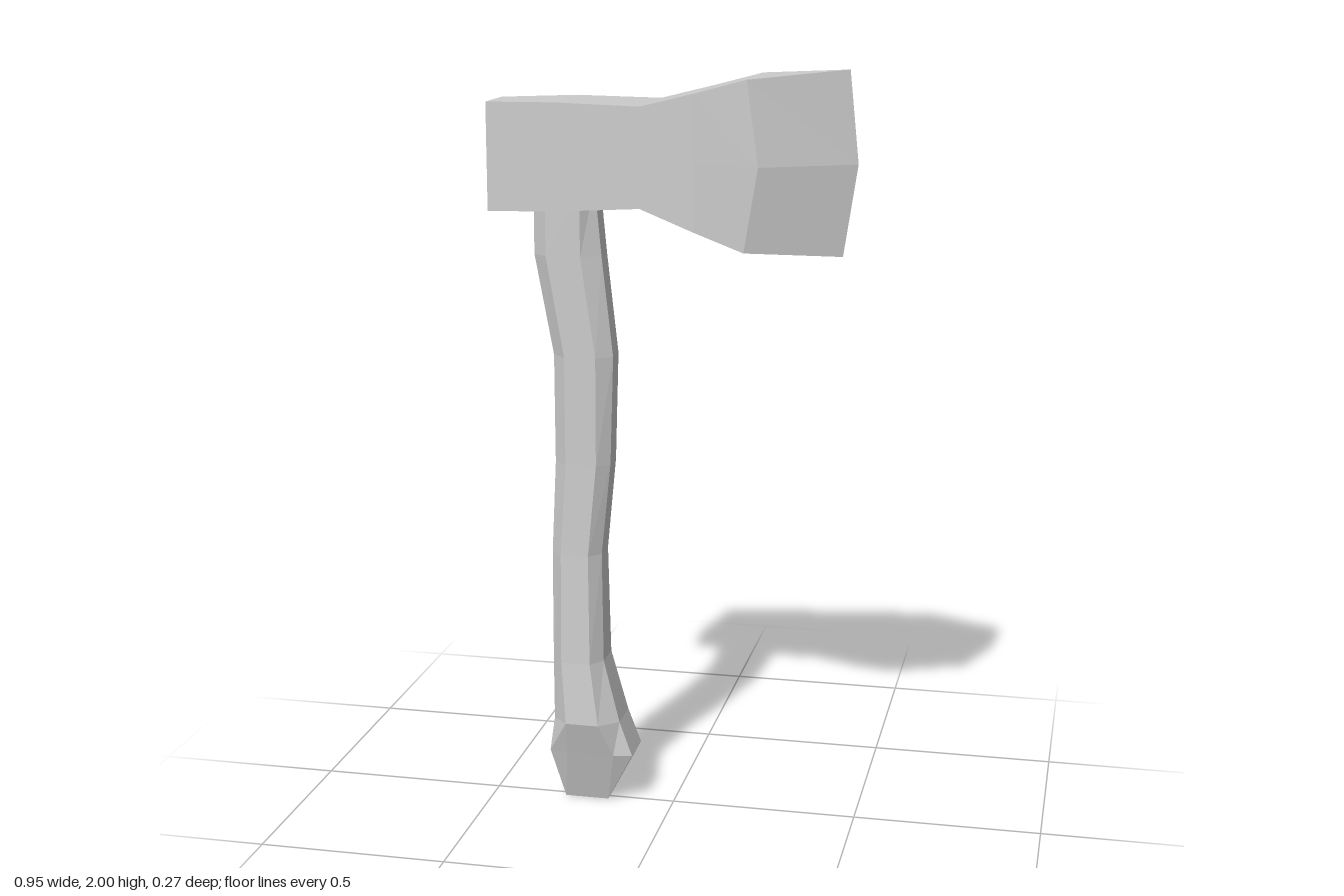
import * as THREE from 'three';

const material = new THREE.MeshStandardMaterial({ color: 0xcccccc, flatShading: true });

// Skins a list of equal-length rings of [x, y, z] and caps the ends.
function loft(name, rings, capEnd = true) {
  const n = rings[0].length;
  const pos = [];
  const tri = (a, b, c) => pos.push(...a, ...b, ...c);
  for (let i = 0; i < rings.length - 1; i++) {
    for (let j = 0; j < n; j++) {
      const k = (j + 1) % n;
      tri(rings[i][j], rings[i][k], rings[i + 1][k]);
      tri(rings[i][j], rings[i + 1][k], rings[i + 1][j]);
    }
  }
  const first = rings[0];
  const last = rings[rings.length - 1];
  for (let j = 1; j < n - 1; j++) {
    tri(first[0], first[j + 1], first[j]);
    if (capEnd) tri(last[0], last[j], last[j + 1]);
  }
  const geometry = new THREE.BufferGeometry();
  geometry.setAttribute('position', new THREE.Float32BufferAttribute(pos, 3));
  geometry.computeVertexNormals();
  const mesh = new THREE.Mesh(geometry, material);
  mesh.name = name;
  return mesh;
}

// Axe head: top x, middle x, bottom x, bottom y, top y, half thickness
function createHead() {
  const sections = [
    [-0.475, -0.475, -0.475, 1.63, 1.91, 0.073],
    [-0.28, -0.28, -0.28, 1.64, 1.915, 0.113],
    [-0.06, -0.06, -0.06, 1.655, 1.91, 0.129],
    [0.08, 0.08, 0.08, 1.6, 1.945, 0.134],
    [0.21, 0.24, 0.205, 1.55, 1.98, 0.121],
    [0.45, 0.475, 0.44, 1.53, 2.0, 0],
  ];
  const rings = sections.map(([xt, xm, xb, yb, yt, w]) => {
    const ym = (yt + yb) / 2;
    return [[xt, yt, w], [xm, ym, w], [xb, yb, w], [xb, yb, -w], [xm, ym, -w], [xt, yt, -w]];
  });
  return loft('axeHead', rings, false);
}

// Handle, a chamfered box section:
// y, outer left x, inner left x, inner right x, outer right x, half depth, flat half depth
function createHandle() {
  const sections = [
    [0, -0.3, -0.3, -0.18, -0.18, 0.025, 0.025],
    [0.145, -0.335, -0.285, -0.155, -0.105, 0.067, 0.055],
    [0.24, -0.322, -0.28, -0.19, -0.14, 0.096, 0.052],
    [0.41, -0.325, -0.294, -0.215, -0.185, 0.081, 0.043],
    [0.71, -0.326, -0.295, -0.22, -0.19, 0.068, 0.035],
    [0.96, -0.315, -0.28, -0.197, -0.165, 0.063, 0.031],
    [1.25, -0.316, -0.28, -0.196, -0.156, 0.063, 0.03],
    [1.515, -0.365, -0.326, -0.234, -0.185, 0.063, 0.03],
    [1.7, -0.365, -0.326, -0.234, -0.202, 0.063, 0.03],
  ];
  const rings = sections.map(([y, lo, li, ri, ro, w, f]) => [
    [ri, y, w], [ro, y, f], [ro, y, -f], [ri, y, -w],
    [li, y, -w], [lo, y, -f], [lo, y, f], [li, y, w],
  ]);
  const handle = loft('handle', rings);
  handle.position.z = -0.004;
  return handle;
}

export function createModel() {
  const axe = new THREE.Group();
  axe.name = 'axe';
  axe.add(createHead(), createHandle());
  return axe;
}
